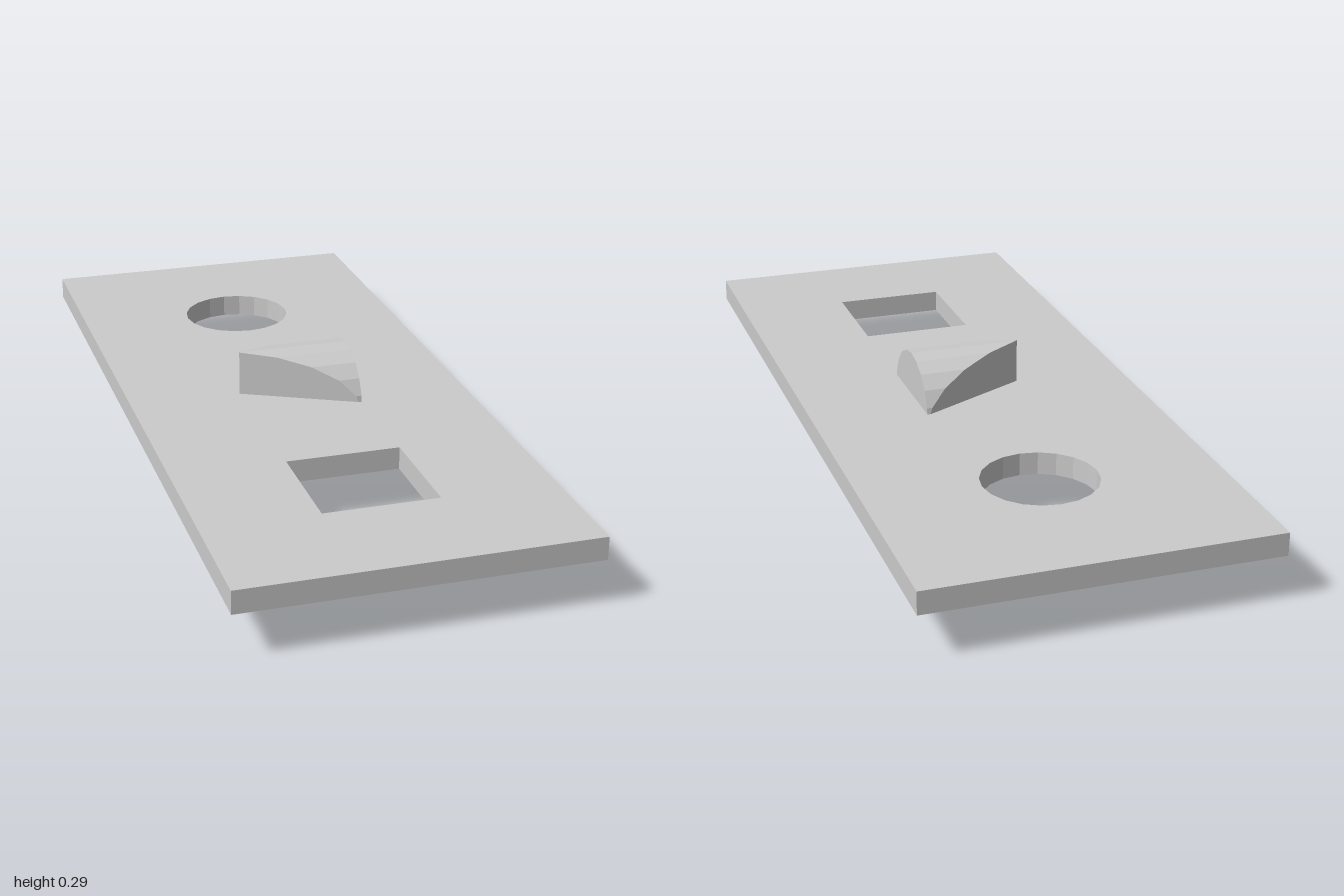
import * as THREE from 'three';

const R = 1 / 7; // plug and hole radius
const MID = R; // height of the plate's mid-plane
const THICK = 0.4 / 7;

function rectangle(target, x, y, w, h) {
  target.moveTo(x - w / 2, y - h / 2);
  target.lineTo(x + w / 2, y - h / 2);
  target.lineTo(x + w / 2, y + h / 2);
  target.lineTo(x - w / 2, y + h / 2);
  target.closePath();
  return target;
}

export function createModel() {
  const group = new THREE.Group();
  group.name = 'shapePuzzle';
  const material = new THREE.MeshStandardMaterial({ color: 0xcccccc, flatShading: true });

  // Plate with a round hole at the back and a square hole at the front
  const outline = rectangle(new THREE.Shape(), 0, 0, 6 * R, 2);
  outline.holes.push(
    new THREE.Path().absarc(0, -4 * R, R, 0, Math.PI * 2, true),
    rectangle(new THREE.Path(), 0, 4 * R, 2 * R, 2 * R)
  );
  const plateGeometry = new THREE.ExtrudeGeometry(outline, {
    depth: THICK, bevelEnabled: false, curveSegments: 10,
  });
  plateGeometry.rotateX(Math.PI / 2).translate(0, MID + THICK / 2, 0);
  const plate = new THREE.Mesh(plateGeometry, material);
  plate.name = 'plate';
  group.add(plate);

  // Plug through the middle: round from the side, triangular from above, square from the front
  const plugGeometry = new THREE.CylinderGeometry(R, R, 2 * R, 20).rotateZ(-Math.PI / 2);
  const pos = plugGeometry.attributes.position;
  for (let i = 0; i < pos.count; i++) {
    // The right end is cut back along two slanted planes that meet in an upright edge
    if (pos.getX(i) < 0) pos.setX(i, -R + 2 * Math.abs(pos.getZ(i)));
  }
  plugGeometry.translate(0, MID, 0);
  plugGeometry.computeVertexNormals();
  const plug = new THREE.Mesh(plugGeometry, material);
  plug.name = 'plug';
  group.add(plug);

  return group;
}
